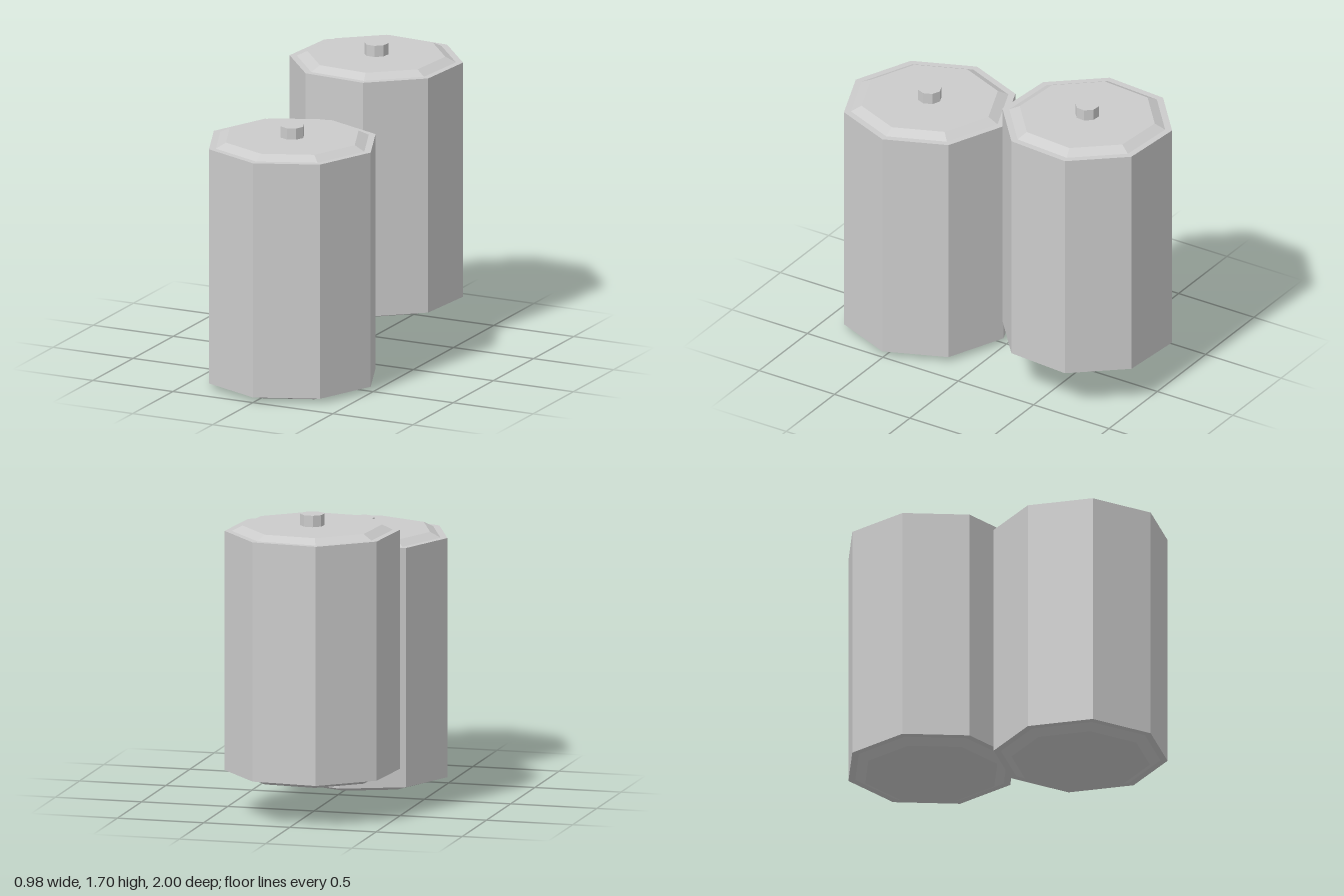
import * as THREE from 'three';

const SIDES = 8;
const material = new THREE.MeshStandardMaterial({ color: 0xcccccc, flatShading: true });

// Eight-sided prism or frustum spanning y0..y1
function prism(name, rBottom, rTop, y0, y1) {
  const mesh = new THREE.Mesh(
    new THREE.CylinderGeometry(rTop, rBottom, y1 - y0, SIDES), material);
  mesh.name = name;
  mesh.position.y = (y0 + y1) / 2;
  return mesh;
}

function createCanister(name) {
  const canister = new THREE.Group();
  canister.name = name;
  canister.add(
    prism('base', 0.39, 0.45, 0, 0.03),      // bevelled foot
    prism('body', 0.49, 0.49, 0.03, 1.39),   // main drum
    prism('lid', 0.45, 0.39, 1.39, 1.42),    // bevelled top
    prism('knob', 0.068, 0.068, 1.42, 1.485) // small stud on the lid
  );
  return canister;
}

export function createModel() {
  const model = new THREE.Group();
  model.name = 'canisterPair';

  const front = createCanister('frontCanister');
  front.position.set(0, 0, 0.51);

  // Rear canister is raised and turned slightly
  const rear = createCanister('rearCanister');
  rear.position.set(0, 0.213, -0.535);
  rear.rotation.y = 0.312;

  model.add(front, rear);
  return model;
}
